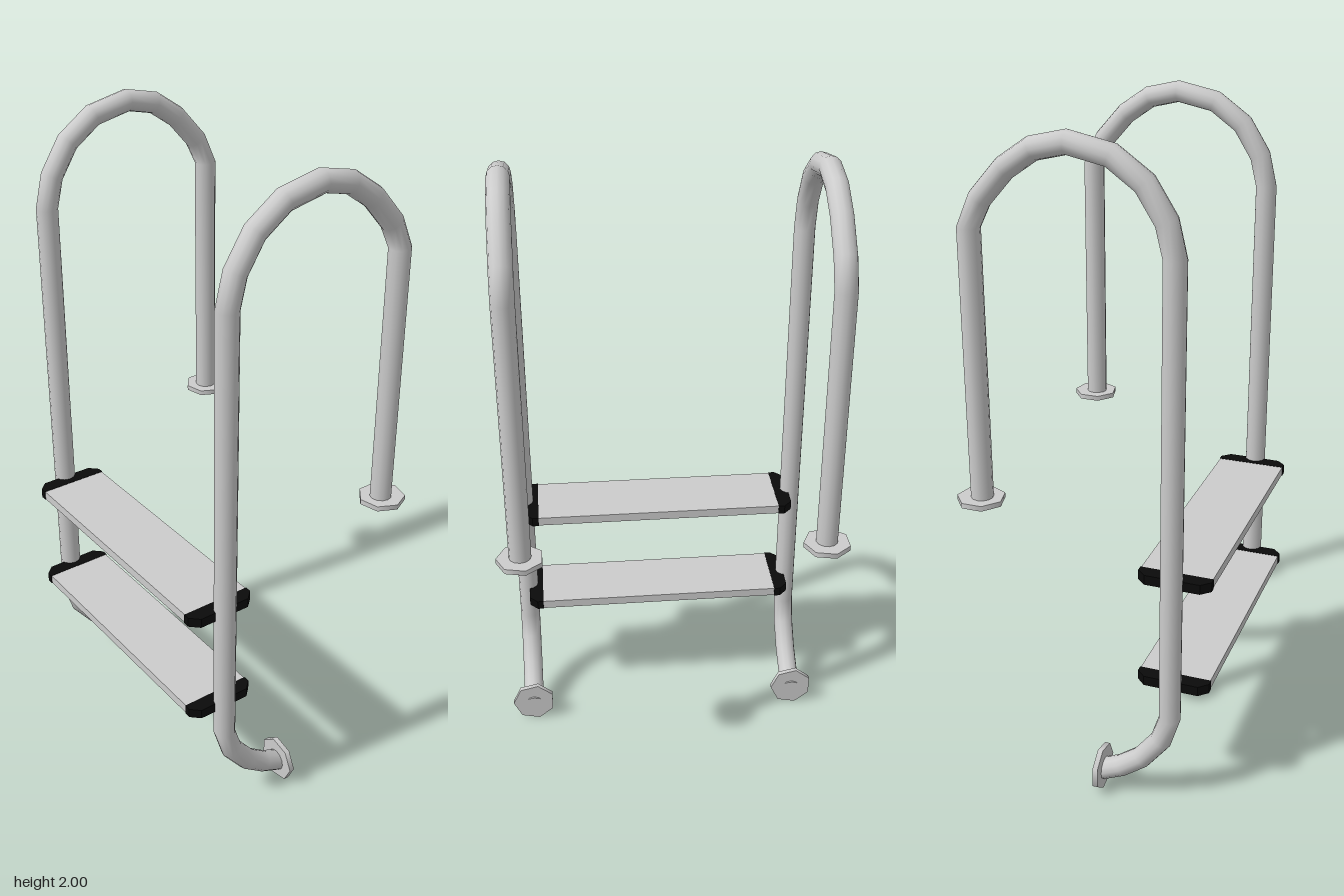
import * as THREE from 'three';

// Curve that passes straight from point to point
class Polyline extends THREE.Curve {
  constructor(points) {
    super();
    this.points = points;
  }
  getPoint(t, target = new THREE.Vector3()) {
    const n = this.points.length - 1;
    const i = Math.min(Math.floor(t * n + 1e-9), n - 1);
    return target.lerpVectors(this.points[i], this.points[i + 1], t * n - i);
  }
  getPointAt(u, target) { return this.getPoint(u, target); }
  getTangentAt(u, target) { return this.getTangent(u, target); }
}

export function createModel() {
  const model = new THREE.Group();
  model.name = 'poolLadder';
  const steel = new THREE.MeshStandardMaterial({ color: 0xcccccc });
  steel.name = 'steel';
  const black = new THREE.MeshStandardMaterial({ color: 0x0a0a0a });
  black.name = 'blackPlastic';

  const add = (parent, name, geometry, material, x = 0, y = 0, z = 0) => {
    const mesh = new THREE.Mesh(geometry, material);
    mesh.name = name;
    mesh.position.set(x, y, z);
    parent.add(mesh);
  };

  // Rail centre line as [z, y]: foot, front post, arch, rear post
  const path = [
    [0.058, 0.062], [0.12, 0.09], [0.185, 0.138], [0.245, 0.215], [0.272, 0.3],
    [0.272, 1.69], [0.249, 1.785], [0.19, 1.878], [0.1, 1.942], [-0.02, 1.967],
    [-0.115, 1.945], [-0.195, 1.89], [-0.27, 1.805], [-0.307, 1.725], [-0.307, 0.925],
  ].map(([z, y]) => new THREE.Vector3(0, y, z));
  const railGeometry = new THREE.TubeGeometry(new Polyline(path), path.length - 1, 0.033, 12, false);

  // Seven-sided mounting plates
  const plate = new THREE.CylinderGeometry(0.071, 0.071, 0.016, 7, 1, false, Math.PI / 2);
  const wallPlate = plate.clone().rotateX(Math.PI / 2);

  for (const [side, x] of [['right', -0.455], ['left', 0.45]]) {
    const rail = new THREE.Group();
    rail.name = side + 'Rail';
    rail.position.x = x;
    add(rail, 'railTube', railGeometry, steel);
    add(rail, 'deckPlate', plate, steel, 0, 0.923, -0.311);
    add(rail, 'wallPlate', wallPlate, steel, 0, 0.07, 0.057);
    model.add(rail);
  }

  // Step end cap with chamfered outer corners, drawn in x and z
  const capGeometry = (s) => {
    const shape = new THREE.Shape([
      [0.4, 0.16], [0.42, 0.16], [0.446, 0.187], [0.446, 0.353], [0.42, 0.38], [0.4, 0.38],
    ].map(([x, z]) => new THREE.Vector2(s * x, z)));
    return new THREE.ExtrudeGeometry(shape, { depth: 0.03, bevelEnabled: false })
      .rotateX(Math.PI / 2).translate(0, 0.015, 0);
  };
  const rightCap = capGeometry(-1);
  const leftCap = capGeometry(1);
  const tread = new THREE.BoxGeometry(0.802, 0.028, 0.216);

  for (const [name, y] of [['lowerStep', 0.405], ['upperStep', 0.744]]) {
    const step = new THREE.Group();
    step.name = name;
    step.position.y = y;
    add(step, 'tread', tread, steel, 0, 0, 0.27);
    add(step, 'rightEndCap', rightCap, black);
    add(step, 'leftEndCap', leftCap, black);
    model.add(step);
  }
  return model;
}
